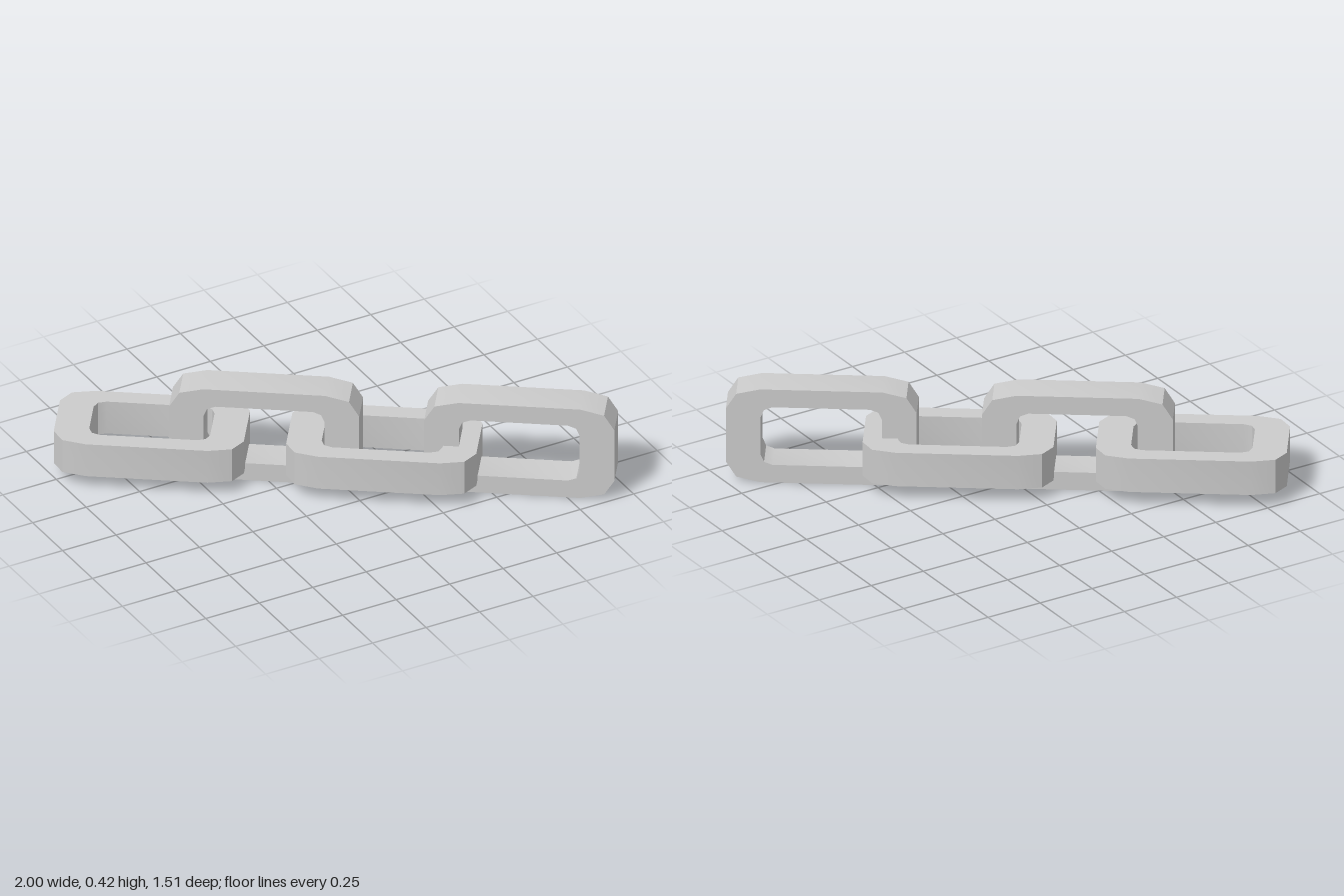
import * as THREE from 'three';
import { toCreasedNormals } from 'three/addons/utils/BufferGeometryUtils.js';

const THICKNESS = 0.152;
const ANGLE = THREE.MathUtils.degToRad(35.2);

// Mirror one corner (listed from the end towards the long side) into a closed outline
function outline(corner) {
  const back = [...corner].reverse();
  return [
    ...corner.map(([x, y]) => new THREE.Vector2(x, y)),
    ...back.map(([x, y]) => new THREE.Vector2(-x, y)),
    ...corner.map(([x, y]) => new THREE.Vector2(-x, -y)),
    ...back.map(([x, y]) => new THREE.Vector2(x, -y)),
  ];
}

// One chamfered link lying in the XY plane, centred on the origin
function linkGeometry() {
  const shape = new THREE.Shape(outline([[0.39, 0.121], [0.348, 0.188], [0.25, 0.211]]));
  const hole = outline([[0.248, 0.085], [0.234, 0.118], [0.2, 0.131]]);
  shape.holes.push(new THREE.Path(hole.reverse()));
  const geometry = new THREE.ExtrudeGeometry(shape, { depth: THICKNESS, bevelEnabled: false });
  geometry.translate(0, 0, -THICKNESS / 2);
  return toCreasedNormals(geometry, 0.5);
}

export function createModel() {
  const group = new THREE.Group();
  group.name = 'chain';
  const material = new THREE.MeshStandardMaterial({ color: 0xcccccc });
  const upright = linkGeometry();
  const flat = upright.clone().rotateX(Math.PI / 2);

  // Flat and upright links alternate along the diagonal
  const links = [
    ['flatLinkBack', flat, -0.607, 0.142, -0.403],
    ['uprightLinkMiddle', upright, -0.222, 0.215, -0.137],
    ['flatLinkMiddle', flat, 0.173, 0.142, 0.145],
    ['uprightLinkFront', upright, 0.634, 0.215, 0.465],
  ];
  for (const [name, geometry, x, y, z] of links) {
    const link = new THREE.Mesh(geometry, material);
    link.name = name;
    link.position.set(x, y, z);
    link.rotation.y = -ANGLE;
    group.add(link);
  }
  return group;
}
